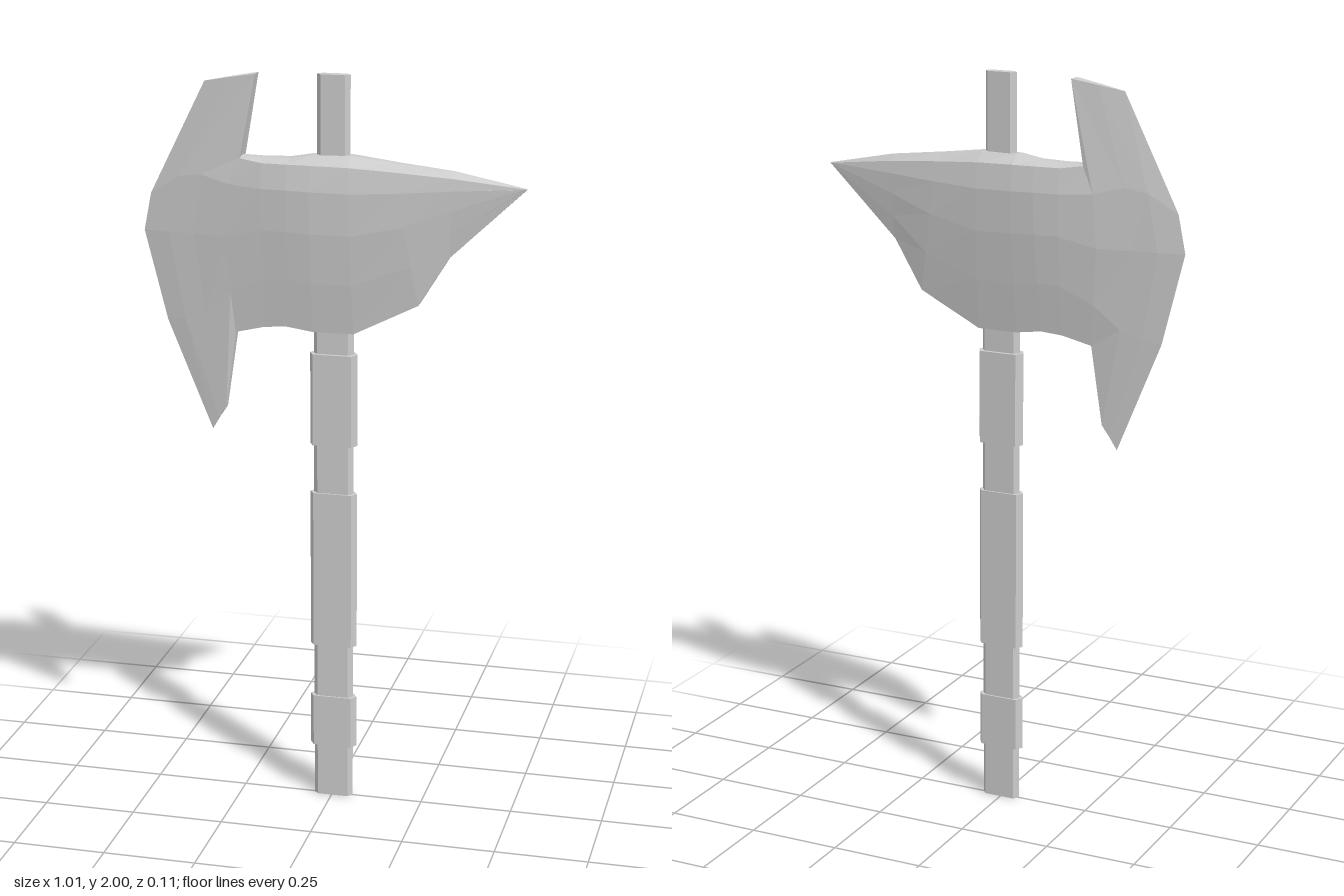
import * as THREE from 'three';

const material = new THREE.MeshStandardMaterial({ color: 0xcccccc, flatShading: true, side: THREE.DoubleSide });

// Upright bar with a flattened six-sided section, pointed towards its narrow edges
function bar(name, y0, y1, halfX, halfZ, chamfer = 0.012) {
  const s = new THREE.Shape();
  s.moveTo(-halfX, 0);
  s.lineTo(-halfX + chamfer, -halfZ);
  s.lineTo(halfX - chamfer, -halfZ);
  s.lineTo(halfX, 0);
  s.lineTo(halfX - chamfer, halfZ);
  s.lineTo(-halfX + chamfer, halfZ);
  s.closePath();
  const g = new THREE.ExtrudeGeometry(s, { depth: y1 - y0, bevelEnabled: false });
  g.rotateX(-Math.PI / 2);
  const mesh = new THREE.Mesh(g, material);
  mesh.name = name;
  mesh.position.set(0.003, y0, 0);
  return mesh;
}

// Straight column of the head, from its bottom edge to its top edge
const rows = [0, 0.3, 0.6, 0.85, 1];
const straight = (xb, yb, xt, yt) => rows.map(t => [xb + (xt - xb) * t, yb + (yt - yb) * t]);

function axeHead() {
  const rowDepth = [0.36, 0.68, 0.93, 1, 0.82];
  // Each column: outline points bottom to top, greatest half depth, ridge rise, ridge half depth
  const columns = [
    [[[-0.33, 1.035], [-0.45, 1.33], [-0.51, 1.57], [-0.49, 1.67], [-0.34, 1.97]], 0, 0, 0],
    [[[-0.31, 1.07], [-0.40, 1.34], [-0.44, 1.57], [-0.41, 1.72], [-0.27, 1.983]], 0.013, 0, 0.008],
    [[[-0.29, 1.10], [-0.34, 1.36], [-0.37, 1.57], [-0.35, 1.73], [-0.2, 1.995]], 0.022, 0, 0.008],
    [[[-0.26, 1.31], [-0.27, 1.42], [-0.28, 1.57], [-0.27, 1.71], [-0.24, 1.778]], 0.036, 0.004, 0.01],
    [straight(-0.18, 1.33, -0.18, 1.77), 0.049, 0.01, 0.012],
    [straight(-0.12, 1.335, -0.11, 1.77), 0.055, 0.012, 0.013],
    [straight(-0.05, 1.325, -0.05, 1.77), 0.056, 0.022, 0.016],
    [straight(0.06, 1.325, 0.05, 1.768), 0.051, 0.026, 0.016],
    [straight(0.23, 1.41, 0.17, 1.76), 0.038, 0.02, 0.008],
    [straight(0.31, 1.54, 0.32, 1.748), 0.023, 0.016, 0.004],
    [straight(0.505, 1.725, 0.505, 1.727), 0.004, 0.001, 0.001],
  ];
  const positions = [], index = [], ring = 12;
  for (const [points, depth, rise, ridge] of columns) {
    const side = points.map(([x, y], i) => [x, y, depth * rowDepth[i]]);
    const [x, y] = points[4];
    side.push([x, y + rise, ridge]);
    for (const p of side) positions.push(...p);
    for (const p of [...side].reverse()) positions.push(p[0], p[1], -p[2]);
  }
  for (let c = 0; c < columns.length - 1; c++) {
    for (let i = 0; i < ring; i++) {
      const j = (i + 1) % ring;
      const a = c * ring + i, d = c * ring + j;
      index.push(a, a + ring, d + ring, a, d + ring, d);
    }
  }
  // Cap at the spike tip
  const last = (columns.length - 1) * ring;
  for (let i = 1; i < ring - 1; i++) index.push(last, last + i, last + i + 1);

  const g = new THREE.BufferGeometry();
  g.setAttribute('position', new THREE.Float32BufferAttribute(positions, 3));
  g.setIndex(index);
  const flat = g.toNonIndexed();
  flat.computeVertexNormals();
  const mesh = new THREE.Mesh(flat, material);
  mesh.name = 'axeHead';
  return mesh;
}

export function createModel() {
  const axe = new THREE.Group();
  axe.name = 'axe';

  // Shaft below the head, and its narrower end above
  axe.add(bar('shaft', 0, 1.4, 0.054, 0.014));
  axe.add(bar('shaftTop', 1.4, 2, 0.044, 0.014));

  // Grip wraps
  [[0.15, 0.295, 0.019], [0.445, 0.88, 0.019], [1.015, 1.265, 0.024]].forEach(([y0, y1, z], i) => {
    axe.add(bar('gripWrap' + (i + 1), y0, y1, 0.064, z));
  });

  axe.add(axeHead());
  return axe;
}
